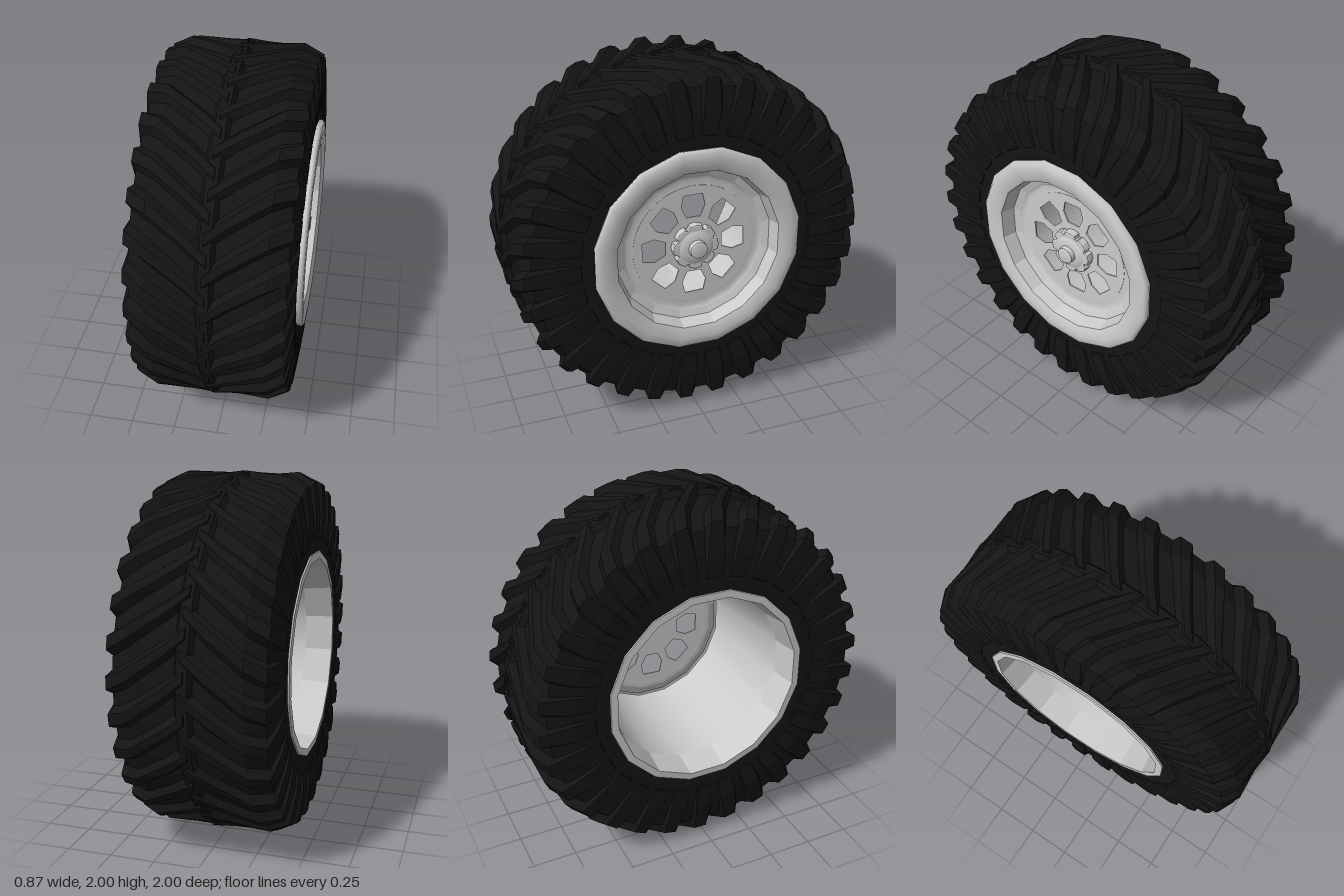
import * as THREE from 'three';
import { mergeGeometries } from 'three/addons/utils/BufferGeometryUtils.js';

const LUGS = 30;
const rubber = new THREE.MeshStandardMaterial({ color: 0x141414, flatShading: true, side: THREE.DoubleSide });
const metal = new THREE.MeshStandardMaterial({ color: 0xcccccc, side: THREE.DoubleSide });
const facetedMetal = new THREE.MeshStandardMaterial({ color: 0xcccccc, flatShading: true, side: THREE.DoubleSide });

function mesh(name, geometry, material) {
  const m = new THREE.Mesh(geometry, material);
  m.name = name;
  return m;
}

// Surface of revolution about the axle (x); profile points are [x, radius]
function turned(name, profile, segments, material) {
  const pts = profile.map(([x, r]) => new THREE.Vector2(r, x));
  const g = new THREE.LatheGeometry(pts, segments, Math.PI / segments);
  g.rotateZ(-Math.PI / 2);
  return mesh(name, g, material);
}

// Flat shape extruded along the axle, starting at x
function plate(name, shape, x, options) {
  const g = new THREE.ExtrudeGeometry(shape, options);
  g.rotateY(Math.PI / 2);
  g.translate(x, 0, 0);
  return mesh(name, g, metal);
}

// Lug stations from tread centre over the shoulder and down the sidewall:
// [top x, top r, base x, base r, sweep angle, top half width, base half width]
const STATIONS = [
  [-0.01, 1.0, -0.01, 0.945, 0.0, 0.022, 0.06],
  [0.1, 0.99, 0.1, 0.945, 0.09, 0.025, 0.065],
  [0.3, 0.995, 0.285, 0.94, 0.23, 0.03, 0.072],
  [0.405, 0.945, 0.375, 0.89, 0.28, 0.035, 0.07],
  [0.425, 0.77, 0.395, 0.77, 0.285, 0.048, 0.062],
  [0.418, 0.65, 0.4, 0.64, 0.285, 0.042, 0.048],
];

function lug(side, angle) {
  const pos = [], idx = [];
  for (const [tx, tr, bx, br, sweep, tw, bw] of STATIONS) {
    for (const [x, r, w] of [[bx, br, -bw], [tx, tr, -tw], [tx, tr, tw], [bx, br, bw]]) {
      const a = angle - sweep + w / r;
      pos.push(side * x, r * Math.cos(a), r * Math.sin(a));
    }
  }
  const quad = (a, b, c, d) => idx.push(...(side > 0 ? [a, b, c, a, c, d] : [a, c, b, a, d, c]));
  const last = (STATIONS.length - 1) * 4;
  for (let k = 0; k < last; k += 4) {
    for (let j = 0; j < 3; j++) quad(k + j, k + j + 1, k + j + 5, k + j + 4);
  }
  quad(3, 2, 1, 0);
  quad(last, last + 1, last + 2, last + 3);
  const g = new THREE.BufferGeometry();
  g.setAttribute('position', new THREE.Float32BufferAttribute(pos, 3));
  g.setIndex(idx);
  const flat = g.toNonIndexed();
  flat.computeVertexNormals();
  return flat;
}

function createTire() {
  const tire = new THREE.Group();
  tire.name = 'tire';
  tire.position.x = -0.01;
  const half = [[0.41, 0.565], [0.412, 0.62], [0.408, 0.77], [0.388, 0.9], [0.29, 0.953]];
  const profile = [...half.map(([x, r]) => [-x, r]), [0, 0.957], ...half.slice().reverse()];
  tire.add(turned('tireCarcass', profile, LUGS * 2, rubber));
  tire.add(turned('centreRib', [[-0.05, 0.95], [-0.028, 0.987], [0.028, 0.987], [0.05, 0.95]], LUGS * 2, rubber));
  // Chevron lugs, the two halves staggered by half a pitch
  const step = (Math.PI * 2) / LUGS;
  const lugs = [];
  for (let i = 0; i < LUGS; i++) lugs.push(lug(1, i * step), lug(-1, (i + 0.5) * step));
  tire.add(mesh('treadLugs', mergeGeometries(lugs), rubber));
  return tire;
}

function createRim() {
  const rim = new THREE.Group();
  rim.name = 'rim';
  const N = 16;
  // Rounded front lip, faceted well and dished edge of the wheel disc
  rim.add(turned('frontLip', [[0.38, 0.58], [0.415, 0.59], [0.433, 0.572], [0.435, 0.53], [0.428, 0.49], [0.418, 0.465]], N, metal));
  rim.add(turned('frontWell', [[0.418, 0.465], [0.34, 0.445], [0.325, 0.405]], N, facetedMetal));
  rim.add(turned('discEdge', [[0.325, 0.405], [0.312, 0.385], [0.318, 0.34]], N, metal));
  // Open barrel behind the disc
  rim.add(turned('backLip', [[-0.4, 0.58], [-0.428, 0.575], [-0.43, 0.535]], N, facetedMetal));
  rim.add(turned('barrelEdge', [[-0.43, 0.535], [-0.27, 0.515]], N, facetedMetal));
  rim.add(turned('barrel', [[-0.27, 0.515], [0.325, 0.45]], N, metal));

  // Centre disc with eight tapered windows
  const disc = new THREE.Shape();
  disc.absarc(0, 0, 0.345, 0, Math.PI * 2);
  const windowPts = [[-0.06, 0.29], [0.047, 0.294], [0.063, 0.225], [0.036, 0.163], [-0.042, 0.163], [-0.073, 0.225]];
  for (let i = 0; i < 8; i++) {
    const a = (i * Math.PI) / 4;
    const c = Math.cos(a), s = Math.sin(a);
    disc.holes.push(new THREE.Path(windowPts.map(([x, y]) => new THREE.Vector2(x * c - y * s, x * s + y * c))));
  }
  rim.add(plate('wheelDisc', disc, 0.311, { depth: 0.008, bevelEnabled: false, curveSegments: 32 }));
  return rim;
}

function createHub() {
  const hub = new THREE.Group();
  hub.name = 'hub';
  // Lobed flange: eight broad lobes separated by narrow notches
  const lobes = [];
  for (let i = 0; i < 8; i++) {
    for (const [offset, r] of [[-0.3, 0.102], [-0.23, 0.12], [0, 0.124], [0.23, 0.12], [0.3, 0.102]]) {
      const a = (i * Math.PI) / 4 + offset;
      lobes.push(new THREE.Vector2(r * Math.cos(a), r * Math.sin(a)));
    }
  }
  hub.add(plate('hubFlange', new THREE.Shape(lobes), 0.322, { depth: 0.03, bevelThickness: 0.01, bevelSize: 0.008, bevelSegments: 2 }));
  hub.add(turned('hubBody', [[0.36, 0.1], [0.372, 0.08], [0.376, 0.05], [0.376, 0]], 24, metal));
  hub.add(turned('hubCapSide', [[0.36, 0.052], [0.402, 0.048]], 16, metal));
  hub.add(turned('hubCapFace', [[0.402, 0.048], [0.41, 0.04], [0.41, 0]], 16, metal));
  return hub;
}

export function createModel() {
  const model = new THREE.Group();
  model.name = 'wheel';
  const wheel = new THREE.Group();
  wheel.name = 'wheelAssembly';
  wheel.position.y = 1;
  wheel.add(createTire(), createRim(), createHub());
  model.add(wheel);
  return model;
}
